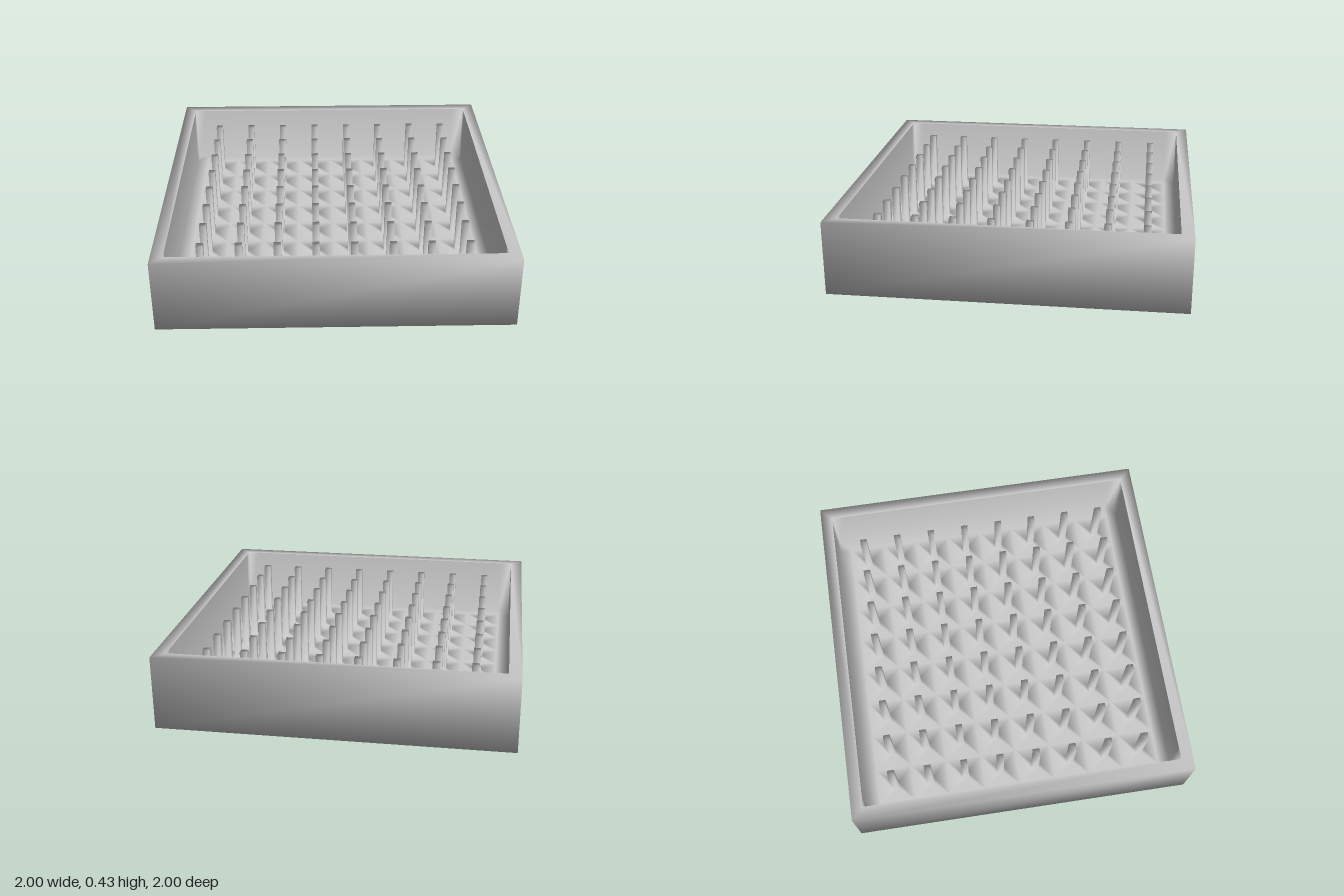
import * as THREE from 'three';
import { mergeVertices } from 'three/addons/utils/BufferGeometryUtils.js';

const HEIGHT = 0.427, INNER = 0.93, FLOOR = 0.07;
const COUNT = 8, PITCH = 0.2153, PEG = 0.02, PEG_TOP = 0.39;

// square outline at a given height, counter-clockwise seen from above
const square = (r, y, cx = 0, cz = 0) =>
  [[-r, r], [r, r], [r, -r], [-r, -r]].map(([x, z]) => [cx + x, y, cz + z]);

export function createModel() {
  const positions = [];
  const quad = (a, b, c, d) => positions.push(...a, ...b, ...c, ...a, ...c, ...d);
  // band of four faces joining two square outlines
  const band = (a, b) => a.forEach((p, i) => {
    const j = (i + 1) % 4;
    quad(p, a[j], b[j], b[i]);
  });

  // outer walls, underside and flat rim
  const bottom = square(1, 0), top = square(1, HEIGHT), lip = square(INNER, HEIGHT);
  quad(bottom[3], bottom[2], bottom[1], bottom[0]);
  band(bottom, top);
  band(top, lip);

  // grid lines of the floor: one cell per peg plus a border strip
  const half = COUNT * PITCH / 2;
  const lines = [-INNER];
  for (let i = 0; i <= COUNT; i++) lines.push(-half + i * PITCH);
  lines.push(INNER);
  const cells = lines.length - 1;

  // inner walls, divided like the floor
  for (let i = 0; i < cells; i++) {
    const a = lines[i], b = lines[i + 1];
    for (let side = 0; side < 4; side++) {
      const turn = (s, y) => [[s, y, -INNER], [INNER, y, s], [-s, y, INNER], [-INNER, y, -s]][side];
      quad(turn(a, FLOOR), turn(b, FLOOR), turn(b, HEIGHT), turn(a, HEIGHT));
    }
  }

  // floor cells, with a square peg rising from each inner cell
  for (let i = 0; i < cells; i++) for (let j = 0; j < cells; j++) {
    const x0 = lines[i], x1 = lines[i + 1], z0 = lines[j], z1 = lines[j + 1];
    const cell = [[x0, FLOOR, z1], [x1, FLOOR, z1], [x1, FLOOR, z0], [x0, FLOOR, z0]];
    if (i === 0 || j === 0 || i === cells - 1 || j === cells - 1) {
      quad(...cell);
      continue;
    }
    const cx = (x0 + x1) / 2, cz = (z0 + z1) / 2;
    const base = square(PEG, FLOOR, cx, cz), tip = square(PEG, PEG_TOP, cx, cz);
    band(cell, base);
    band(base, tip);
    quad(...tip);
  }

  // weld everything so the shading runs smoothly across the edges
  let geometry = new THREE.BufferGeometry();
  geometry.setAttribute('position', new THREE.Float32BufferAttribute(positions, 3));
  geometry = mergeVertices(geometry, 1e-4);
  geometry.computeVertexNormals();

  const tray = new THREE.Mesh(geometry, new THREE.MeshStandardMaterial({ color: 0xcccccc }));
  tray.name = 'peggedTray';
  const model = new THREE.Group();
  model.name = 'trayWithPegs';
  model.add(tray);
  return model;
}
